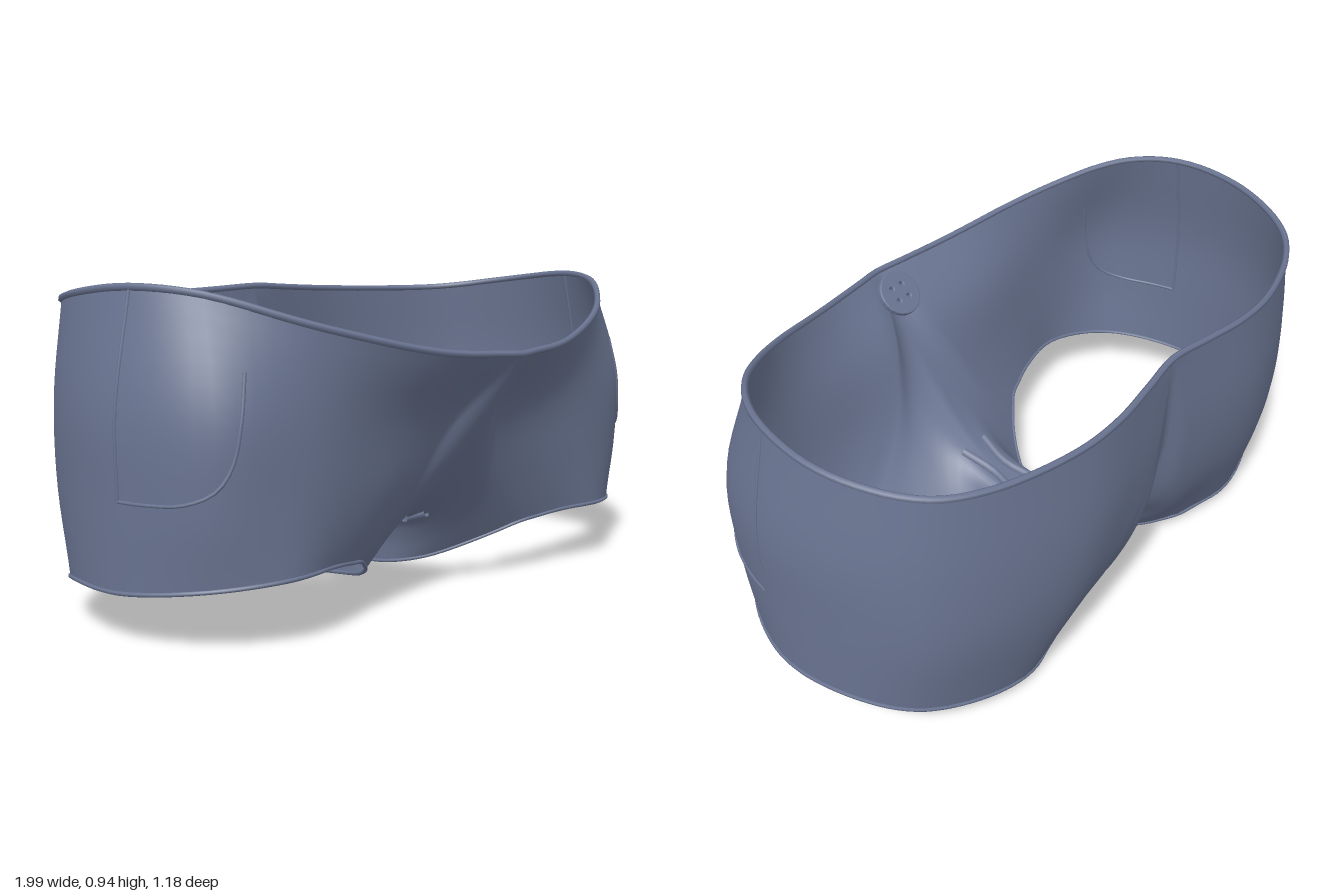
import * as THREE from 'three';
import { mergeVertices } from 'three/addons/utils/BufferGeometryUtils.js';

const V = (x, y, z) => new THREE.Vector3(x, y, z);
const curve = (rows, closed = false) =>
  new THREE.CatmullRomCurve3(rows.map((p) => (p.isVector3 ? p : V(...p))), closed);

// Outer half panel: waist to hem, each row running front centre -> side -> back centre
const outerRows = [
  [[0, .735, .585], [.27, .752, .535], [.61, .832, .41], [.83, .912, .235], [.925, .93, .06], [.935, .908, -.18], [.8, .875, -.425], [.42, .875, -.57], [0, .895, -.54]],
  [[.09, .56, .428], [.32, .57, .425], [.62, .6, .405], [.87, .62, .32], [.985, .62, .07], [.968, .62, -.2], [.83, .62, -.43], [.45, .58, -.585], [.1, .58, -.56]],
  [[.21, .34, .35], [.39, .36, .385], [.66, .37, .395], [.88, .38, .31], [.985, .38, .07], [.965, .38, -.2], [.84, .37, -.42], [.5, .34, -.555], [.22, .33, -.54]],
  [[.36, .165, .315], [.5, .188, .365], [.68, .19, .39], [.87, .175, .285], [.98, .15, .06], [.96, .14, -.18], [.84, .1, -.36], [.55, .05, -.47], [.32, .035, -.42]],
];

// Inner half panel: centre seam to hem, each row running back -> crotch -> front
const innerMiddle = [
  [[0, .56, -.52], [0, .35, -.425], [0, .2, -.21], [0, .165, 0], [0, .235, .19], [0, .42, .37]],
  [[.075, .39, -.53], [.065, .26, -.43], [.06, .17, -.2], [.065, .16, -.01], [.07, .21, .18], [.1, .36, .345]],
  [[.16, .21, -.48], [.13, .14, -.365], [.095, .1, -.18], [.09, .1, -.02], [.12, .14, .15], [.18, .25, .29]],
  [[.23, .02, -.35], [.15, .01, -.25], [.11, .01, -.15], [.1, .02, -.03], [.15, .05, .1], [.25, .11, .225]],
];
const innerRows = innerMiddle.map((r, i) => [outerRows[i][8], ...r, outerRows[i][0]]);

// Surface point of a panel, u along the row and v from top to hem
function makeSurface(rows) {
  const curves = rows.map((r) => curve(r));
  return (u, v) => curve(curves.map((c) => c.getPoint(u))).getPoint(v);
}
const outer = makeSurface(outerRows);
const inner = makeSurface(innerRows);

// Both halves of the cloth, welded along the centre seam
function clothGeometry() {
  const pos = [], idx = [];
  const addPanel = (surface, nu, nv, side) => {
    const base = pos.length / 3;
    for (let j = 0; j <= nv; j++)
      for (let i = 0; i <= nu; i++) {
        const p = surface(i / nu, j / nv);
        pos.push(p.x * side, p.y, p.z);
      }
    for (let j = 0; j < nv; j++)
      for (let i = 0; i < nu; i++) {
        const a = base + j * (nu + 1) + i, b = a + 1, c = a + nu + 1, d = c + 1;
        if (side > 0) idx.push(a, c, b, b, c, d);
        else idx.push(a, b, c, b, d, c);
      }
  };
  for (const side of [1, -1]) {
    addPanel(outer, 40, 16, side);
    addPanel(inner, 35, 16, side);
  }
  const g = new THREE.BufferGeometry();
  g.setAttribute('position', new THREE.Float32BufferAttribute(pos, 3));
  g.setIndex(idx);
  const welded = mergeVertices(g, 1e-4);
  welded.computeVertexNormals();
  return welded;
}

export function createModel() {
  const group = new THREE.Group();
  const cloth = new THREE.MeshStandardMaterial({ color: 0x6a7592, side: THREE.DoubleSide });
  cloth.name = 'slate blue cloth';

  const add = (name, geometry) => {
    const m = new THREE.Mesh(geometry, cloth);
    m.name = name;
    group.add(m);
    return m;
  };
  const tube = (name, pts, radius, closed = false) =>
    add(name, new THREE.TubeGeometry(curve(pts, closed), pts.length * 3, radius, 6, closed));
  const sample = (n, fn) => Array.from({ length: n + 1 }, (_, i) => fn(i / n));
  const flip = (pts, s) => pts.map((p) => V(p.x * s, p.y, p.z));

  add('shorts', clothGeometry());

  // Rolled waist edge
  const halfWaist = sample(24, (t) => outer(t, 0));
  tube('waistEdge', [...halfWaist, ...flip(halfWaist, -1).reverse().slice(1, -1)], .01, true);

  // Hems, side seams and pocket stitching on both sides
  const hem = [...sample(20, (t) => outer(t, 1)), ...sample(14, (t) => inner(t, 1)).slice(1, -1)];
  const sideSeam = sample(10, (t) => outer(.5, t * .65));
  const pocket = [[.335, .2], [.342, .35], [.35, .5], [.37, .59], [.41, .64], [.46, .65], [.5, .65]]
    .map(([u, v]) => outer(u, v));
  for (const [s, name] of [[1, 'left'], [-1, 'right']]) {
    tube(name + 'Hem', flip(hem, s), .006, true);
    tube(name + 'SideSeam', flip(sideSeam, s), .005);
    tube(name + 'PocketEdge', flip(pocket, s), .005);
    // Gathered folds over the crotch
    tube(name + 'CrotchFold', [V(.05 * s, .22, .19), V(.03 * s, .185, .08), V(.045 * s, .165, -.03),
      V(.025 * s, .175, -.13), V(.035 * s, .2, -.24)], .014);
  }

  // Four-hole button inside the front of the waist
  const disc = new THREE.Shape().absarc(0, 0, .07, 0, Math.PI * 2);
  for (const x of [-.022, .022])
    for (const y of [-.022, .022])
      disc.holes.push(new THREE.Path().absarc(x, y, .011, 0, Math.PI * 2, true));
  const button = add('button', new THREE.ExtrudeGeometry(disc, {
    depth: .012, bevelEnabled: true, bevelSize: .004, bevelThickness: .004, bevelSegments: 2, curveSegments: 12,
  }));
  button.position.set(-.01, .675, .507);
  button.quaternion.setFromUnitVectors(V(0, 0, 1), V(0, .69, -.72).normalize());
  return group;
}
